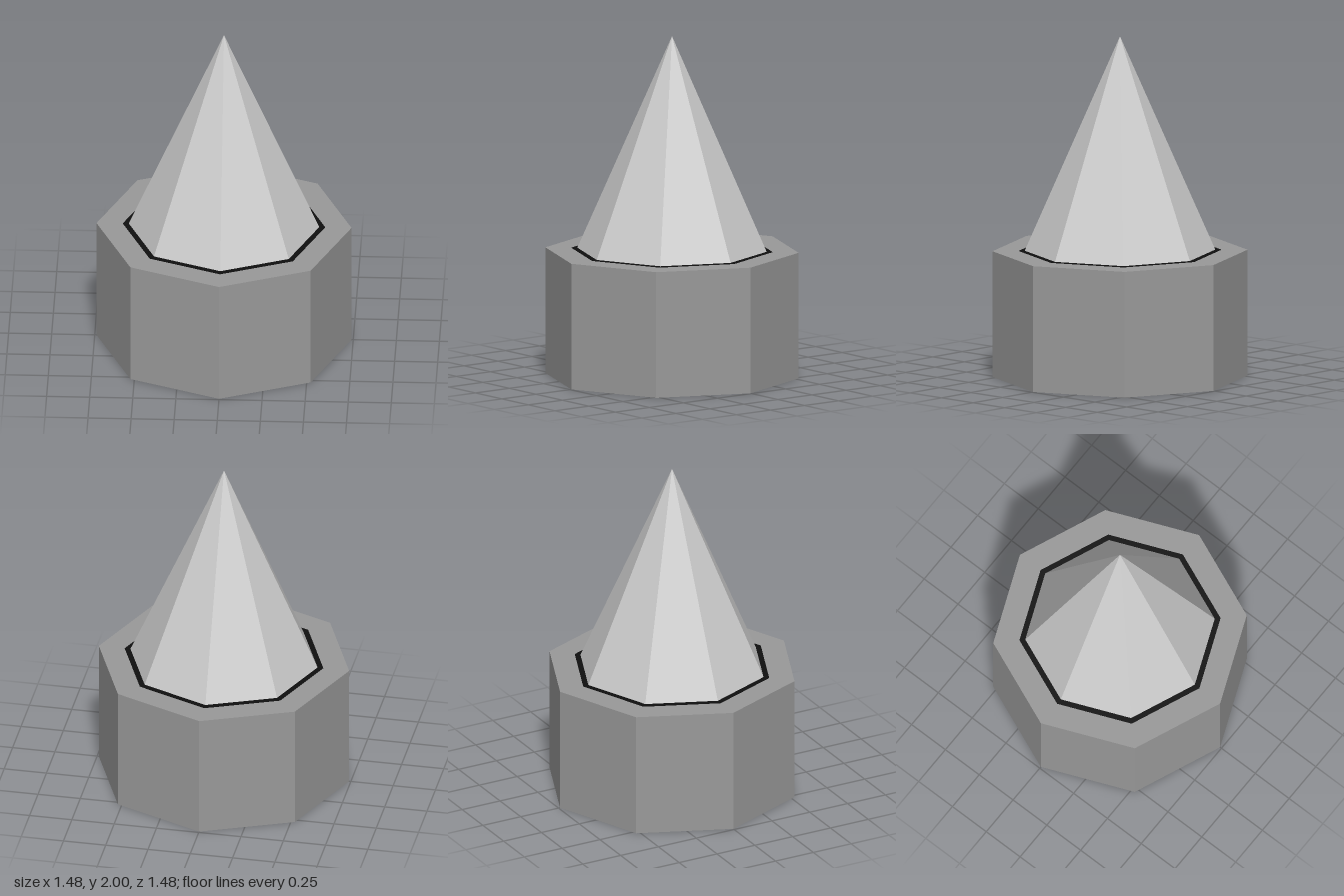
import * as THREE from 'three';

const SIDES = 8;

export function createModel() {
  const group = new THREE.Group();

  // Eight-sided solid standing between two heights, with a corner facing +z
  const addPrism = (name, topRadius, bottomRadius, bottom, top, color) => {
    const geometry = new THREE.CylinderGeometry(topRadius, bottomRadius, top - bottom, SIDES);
    const material = new THREE.MeshStandardMaterial({ color, flatShading: true });
    const mesh = new THREE.Mesh(geometry, material);
    mesh.name = name;
    mesh.position.y = (bottom + top) / 2;
    group.add(mesh);
  };

  // Octagonal block
  addPrism('base', 0.74, 0.74, 0, 0.74, 0x999999);
  // Dark band around the foot of the spike, a hair above the block
  addPrism('darkBand', 0.587, 0.587, 0.735, 0.742, 0x0f0f0f);
  // Pointed spike
  addPrism('spike', 0, 0.554, 0.74, 2, 0xcccccc);

  return group;
}
